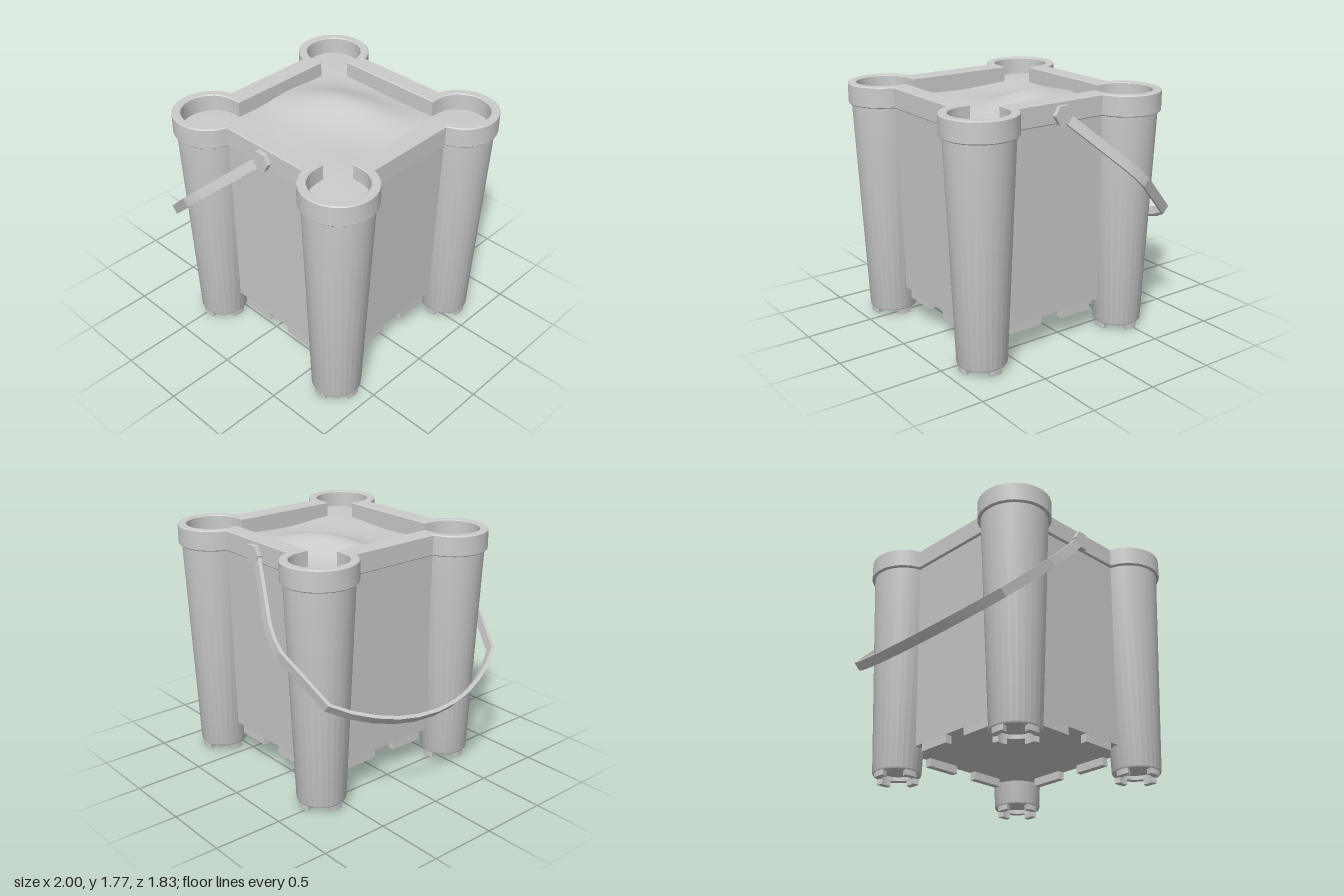
import * as THREE from 'three';
import { toCreasedNormals } from 'three/addons/utils/BufferGeometryUtils.js';

const T = 0.605;            // tower offset from the bucket axis
const RIM_Y = 1.62, TOP = 1.77;
const mat = new THREE.MeshStandardMaterial({ color: 0xcccccc });
const sandMat = new THREE.MeshStandardMaterial({ color: 0xcccccc, side: THREE.DoubleSide });

function add(parent, geo, name, material = mat) {
  const m = new THREE.Mesh(geo, material);
  m.name = name;
  parent.add(m);
  return m;
}

// Outline made of one corner repeated around four quarter turns;
// each corner is an arc about (T, T) with optional points before and after it
function cornerLoop(r, a0, a1, before = [], after = []) {
  const corner = [...before];
  const n = 20;
  for (let i = 0; i <= n; i++) {
    const a = a0 + ((a1 - a0) * i) / n;
    corner.push([T + r * Math.cos(a), T + r * Math.sin(a)]);
  }
  corner.push(...after);
  const pts = [];
  for (let q = 0; q < 4; q++) {
    for (const [x, y] of corner) {
      pts.push(new THREE.Vector2(x, y).rotateAround(new THREE.Vector2(), (q * Math.PI) / 2));
    }
  }
  return pts;
}

// Collar that follows the walls and swells round each tower
function collarGeometry() {
  const half = 0.675, r = 0.262, inner = 0.54, ri = 0.2, b = 0.007;
  const a = Math.acos((half - T) / r);
  const shape = new THREE.Shape(cornerLoop(r, -a, Math.PI / 2 + a));
  shape.holes.push(new THREE.Path(
    cornerLoop(ri, -Math.PI / 2, Math.PI, [[inner, T - ri]], [[T - ri, inner]])));
  const g = new THREE.ExtrudeGeometry(shape, {
    depth: TOP - RIM_Y - 2 * b, bevelEnabled: true, bevelThickness: b,
    bevelSize: b, bevelOffset: -b, bevelSegments: 1,
  });
  g.rotateX(-Math.PI / 2).translate(0, RIM_Y + b, 0);
  return toCreasedNormals(g, 0.5);
}

// Heaped sand with one long diagonal mound; only the cells inside the collar opening are kept
function sandGeometry() {
  const n = 72, size = 1.66;
  const g = new THREE.PlaneGeometry(size, size, n, n).rotateX(-Math.PI / 2);
  const p = g.attributes.position;
  const mound = (x, z, cx, cz, long, short) => {
    const u = 0.92 * (x - cx) - 0.39 * (z - cz), v = 0.39 * (x - cx) + 0.92 * (z - cz);
    return Math.exp(-((u / long) ** 2) - (v / short) ** 2);
  };
  for (let i = 0; i < p.count; i++) {
    const x = p.getX(i), z = p.getZ(i);
    p.setY(i, 1.643 + 0.1 * mound(x, z, -0.13, -0.17, 0.45, 0.22)
      + 0.02 * mound(x, z, 0.35, 0.4, 0.3, 0.25)
      + 0.012 * Math.sin(5 * x + 1) * Math.cos(6 * z));
  }
  const kept = [], idx = g.index.array;
  for (let i = 0; i < idx.length; i += 6) {
    const x = Math.abs((p.getX(idx[i]) + p.getX(idx[i + 4])) / 2);
    const z = Math.abs((p.getZ(idx[i]) + p.getZ(idx[i + 4])) / 2);
    if (Math.max(x, z) < 0.565 || Math.hypot(x - T, z - T) < 0.225) kept.push(...idx.slice(i, i + 6));
  }
  g.setIndex(kept);
  g.computeVertexNormals();
  return g;
}

// Tapered round tower with a hollow foot and four crenels under it
function makeTower() {
  const tower = new THREE.Group();
  tower.name = 'tower';
  const profile = [[0, 0.07], [0.125, 0.07], [0.125, 0.04], [0.17, 0.04], [0.176, 0.05], [0.24, 1.625], [0, 1.625]]
    .map(([x, y]) => new THREE.Vector2(x, y));
  add(tower, toCreasedNormals(new THREE.LatheGeometry(profile, 28), 0.5), 'towerShell');
  const s = new THREE.Shape();
  s.absarc(0, 0, 0.17, -0.3, 0.3, false);
  s.absarc(0, 0, 0.125, 0.3, -0.3, true);
  const tooth = new THREE.ExtrudeGeometry(s, { depth: 0.04, bevelEnabled: false, curveSegments: 5 });
  tooth.rotateX(-Math.PI / 2);
  for (let i = 0; i < 4; i++) add(tower, tooth, 'towerCrenel').rotation.y = (i * Math.PI) / 2;
  return tower;
}

// Flat band handle, bent in its own plane (distance along the swing, side)
function handleGeometry() {
  const half = [[0, 0.69], [0.06, 0.69], [0.55, 0.878], [0.66, 0.902], [0.76, 0.904], [1.2, 0.775],
    [1.3, 0.64], [1.38, 0.49], [1.44, 0.33], [1.475, 0.17]];
  const path = [...half, [1.487, 0], ...half.map(([t, z]) => [t, -z]).reverse()]
    .map(([t, z]) => new THREE.Vector2(t, z));
  const offset = (d) => path.map((p, i) => {
    const a = path[Math.max(i - 1, 0)], b = path[Math.min(i + 1, path.length - 1)];
    const dir = b.clone().sub(a).normalize();
    return new THREE.Vector2(p.x - dir.y * d, p.y + dir.x * d);
  });
  const shape = new THREE.Shape([...offset(0.013), ...offset(-0.013).reverse()]);
  const g = new THREE.ExtrudeGeometry(shape, { depth: 0.07, bevelEnabled: false });
  g.translate(0, 0, -0.035);
  const u = new THREE.Vector3(-0.737, -0.676, 0).normalize();
  const v = new THREE.Vector3(0, 0, 1);
  g.applyMatrix4(new THREE.Matrix4().makeBasis(u, v, u.clone().cross(v)));
  return toCreasedNormals(g, 0.3);
}

export function createModel() {
  const model = new THREE.Group();
  model.name = 'castleBucket';
  const bucket = new THREE.Group();
  bucket.name = 'bucket';
  bucket.position.x = 0.13;
  model.add(bucket);

  // Square body, narrower at the foot
  const body = new THREE.BoxGeometry(1.31, 1.405, 1.31).translate(0, 0.9225, 0);
  const p = body.attributes.position;
  for (let i = 0; i < p.count; i++) {
    if (p.getY(i) < 1) p.setXYZ(i, p.getX(i) * 0.905, p.getY(i), p.getZ(i) * 0.905);
  }
  body.computeVertexNormals();
  add(bucket, body, 'body');

  // Two crenels under each wall
  const crenel = new THREE.BoxGeometry(0.26, 0.06, 0.05);
  for (let q = 0; q < 4; q++) {
    const side = new THREE.Group();
    side.name = 'wallCrenels';
    side.rotation.y = (q * Math.PI) / 2;
    for (const x of [-0.22, 0.22]) add(side, crenel, 'wallCrenel').position.set(x, 0.19, 0.5675);
    bucket.add(side);
  }

  // Corner towers
  for (const x of [-T, T]) {
    for (const z of [-T, T]) {
      const tower = makeTower();
      tower.position.set(x, 0, z);
      bucket.add(tower);
    }
  }

  add(bucket, collarGeometry(), 'collar');
  add(bucket, sandGeometry(), 'sand', sandMat);

  // Handle and its six-sided pivots
  add(bucket, handleGeometry(), 'handle').position.set(0, 1.685, 0);
  const pivot = new THREE.CylinderGeometry(0.073, 0.073, 0.045, 6).rotateY(Math.PI / 2).rotateX(Math.PI / 2);
  for (const s of [-1, 1]) {
    add(bucket, toCreasedNormals(pivot, 0.3), 'handlePivot').position.set(0, 1.68, s * 0.685);
  }
  return model;
}
